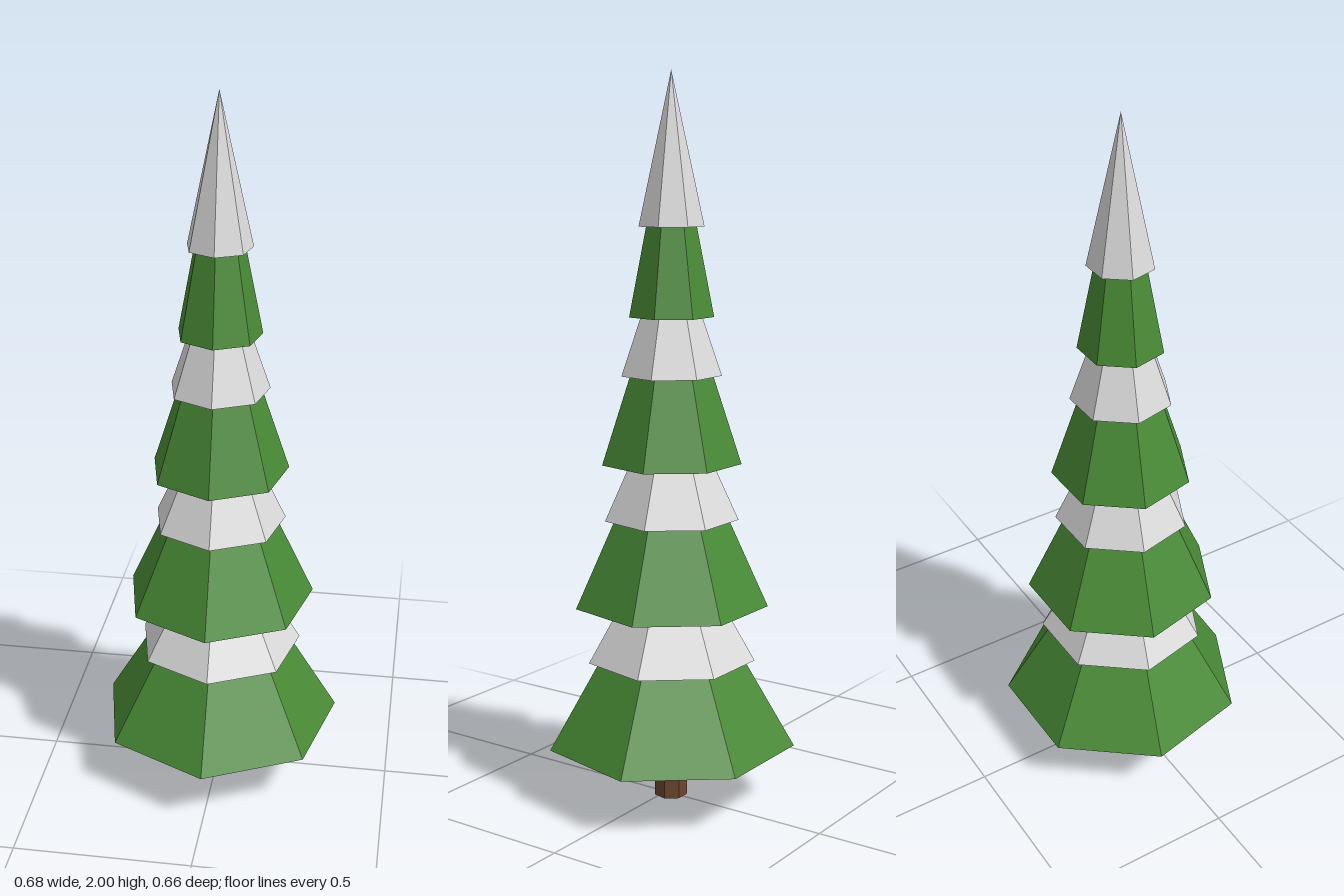
import * as THREE from 'three';

const SIDES = 7;

function material(name, color, side = THREE.FrontSide) {
  const m = new THREE.MeshStandardMaterial({ color, side, flatShading: true });
  m.name = name;
  return m;
}

export function createModel() {
  const foliage = material('foliage green', 0x498b36, THREE.DoubleSide);
  const snow = material('snow white', 0xdcdcdc, THREE.DoubleSide);
  const bark = material('bark brown', 0x6b462c);

  const tree = new THREE.Group();
  tree.name = 'snowyTree';

  // Hollow cone with its rim at height y
  function hollowCone(name, radius, height, y, mat) {
    const geo = new THREE.ConeGeometry(radius, height, SIDES, 1, true);
    geo.translate(0, y + height / 2, 0);
    const mesh = new THREE.Mesh(geo, mat);
    mesh.name = name;
    return mesh;
  }

  // Short trunk reaching just inside the lowest tier
  const trunkGeo = new THREE.CylinderGeometry(0.046, 0.046, 0.27, SIDES);
  trunkGeo.translate(0, 0.135, 0);
  const trunk = new THREE.Mesh(trunkGeo, bark);
  trunk.name = 'trunk';
  tree.add(trunk);

  // Four tiers: a green skirt with a snow cap over its upper part
  const tiers = [
    { y: 0.163, green: 0.347, cap: 0.235 },
    { y: 0.56, green: 0.27, cap: 0.187 },
    { y: 0.955, green: 0.194, cap: 0.139 },
    { y: 1.353, green: 0.117, cap: 0.09 },
  ];
  tiers.forEach(({ y, green, cap }, i) => {
    const tier = new THREE.Group();
    tier.name = `tier${i + 1}`;
    tier.add(hollowCone('branches', green, 0.59, y, foliage));
    tier.add(hollowCone('snowCap', cap, 0.407, y + 0.24, snow));
    tree.add(tier);
  });

  // The odd-sided rim is centred by its bounds, so the axis sits slightly back
  tree.children.forEach((part) => { part.position.z = -0.017; });
  return tree;
}
